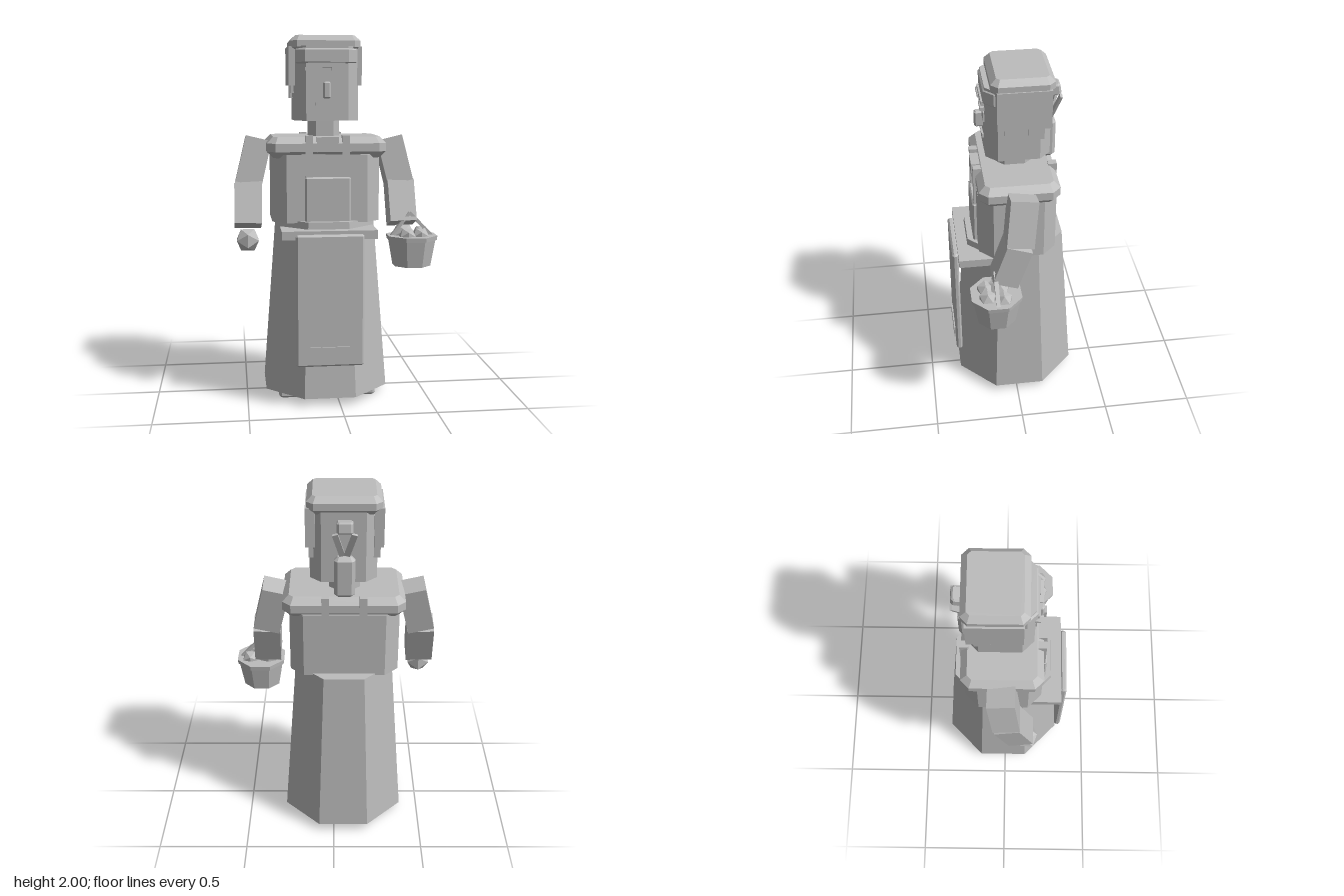
import * as THREE from 'three';

const grey = new THREE.MeshStandardMaterial({ color: 0xbcbcbc, flatShading: true, side: THREE.DoubleSide });
grey.name = 'plain grey';

const CX = -0.055; // body's mirror line
const OCT = 1 / Math.cos(Math.PI / 8); // half width across flats -> radius

export function createModel() {
  const root = new THREE.Group();
  const add = (name, geo, x = 0, y = 0, z = 0, parent = root) => {
    const m = new THREE.Mesh(geo, grey);
    m.name = name;
    m.position.set(x, y, z);
    parent.add(m);
    return m;
  };
  // plain box from its limits
  const box = (name, x0, x1, y0, y1, z0, z1) =>
    add(name, new THREE.BoxGeometry(x1 - x0, y1 - y0, z1 - z0), (x0 + x1) / 2, (y0 + y1) / 2, (z0 + z1) / 2);
  // box with cut upright corners (c) and bevelled top and bottom (b)
  const block = (name, x0, x1, y0, y1, z0, z1, c, b) => {
    const w = (x1 - x0) / 2, d = (z1 - z0) / 2;
    const s = new THREE.Shape([[w - c, -d], [w, c - d], [w, d - c], [w - c, d],
      [c - w, d], [-w, d - c], [-w, c - d], [c - w, -d]].map(p => new THREE.Vector2(...p)));
    const g = new THREE.ExtrudeGeometry(s, { depth: y1 - y0 - 2 * b, bevelEnabled: b > 0,
      bevelThickness: b, bevelSize: b, bevelOffset: -b, bevelSegments: 1 });
    g.rotateX(-Math.PI / 2);
    return add(name, g, (x0 + x1) / 2, y0 + b, (z0 + z1) / 2);
  };
  // square bar between two points
  const bar = (name, a, b, w, d) => {
    const p = new THREE.Vector3(...a), q = new THREE.Vector3(...b);
    const m = add(name, new THREE.BoxGeometry(w, p.distanceTo(q), d));
    m.position.copy(p).add(q).multiplyScalar(0.5);
    m.quaternion.setFromUnitVectors(new THREE.Vector3(0, 1, 0), p.sub(q).normalize());
    return m;
  };

  // shoes and legs under the open skirt
  for (const s of [-1, 1]) {
    const x = CX + s * 0.165;
    block('shoe', x - 0.105, x + 0.105, 0, 0.09, -0.12, 0.185, 0.015, 0.012);
    box('leg', x - 0.075, x + 0.075, 0.08, 0.5, -0.1, 0.06);
  }

  // eight-sided skirt
  const profile = [[0.339 * OCT, 0.04], [0.267 * OCT, 1], [0, 1]].map(p => new THREE.Vector2(...p));
  add('skirt', new THREE.LatheGeometry(profile, 8, Math.PI / 8), CX, 0, -0.013);

  // torso and shoulders
  block('torso', -0.352, 0.238, 0.99, 1.36, -0.222, 0.2, 0.075, 0);
  block('shoulderYoke', -0.38, 0.272, 1.34, 1.455, -0.23, 0.2, 0.045, 0.035);
  block('neck', -0.14, 0.027, 1.43, 1.56, -0.105, 0.075, 0.035, 0);

  // apron
  box('apronWaistband', -0.312, 0.204, 0.915, 0.962, 0.12, 0.315);
  block('apronPanel', -0.24, 0.128, 0.225, 0.945, 0.312, 0.347, 0.01, 0.01);
  box('apronPocket', -0.165, 0.055, 0.26, 0.335, 0.34, 0.355);
  block('apronBib', -0.178, 0.07, 0.98, 1.24, 0.19, 0.222, 0.008, 0.008);
  for (const s of [-1, 1]) {
    const x = CX + s * 0.1;
    box('frontStrap', x - 0.02, x + 0.02, 1.22, 1.463, 0.17, 0.213);
    box('backStrap', x - 0.02, x + 0.02, 1.3, 1.463, -0.237, -0.19);
  }
  box('collarTag', CX - 0.058, CX + 0.058, 1.375, 1.455, 0.17, 0.217);

  // arms: both bend forward at the elbow
  for (const s of [-1, 1]) {
    const at = dx => CX + s * dx;
    bar('upperArm', [at(0.365), 1.435, -0.02], [at(0.425), 1.185, 0.01], 0.145, 0.145);
    bar('forearm', [at(0.425), 1.19, 0.012], [at(0.43), 0.965, 0.09], 0.148, 0.14);
    add('hand', new THREE.IcosahedronGeometry(0.07, 0), at(0.433), s < 0 ? 0.89 : 0.9, 0.12);
  }

  // head
  block('head', -0.225, 0.125, 1.54, 1.94, -0.195, 0.145, 0.06, 0);
  block('hairCap', -0.245, 0.138, 1.905, 2, -0.21, 0.118, 0.035, 0.03);
  block('fringe', -0.22, 0.115, 1.845, 1.93, 0.02, 0.153, 0.05, 0.01);
  for (const s of [-1, 1]) {
    const side = (name, y0, y1, z0, z1, out) => {
      const a = CX + s * 0.15, b = CX + s * out;
      box(name, Math.min(a, b), Math.max(a, b), y0, y1, z0, z1);
    };
    side('sideHair', 1.73, 1.94, -0.19, 0.09, 0.2);
    side('sideLock', 1.66, 1.74, -0.155, -0.07, 0.185);
    side('sideburn', 1.69, 1.76, 0.0, 0.05, 0.185);

    // face details
    const x = CX + s * 0.072;
    box('eye', x - 0.034, x + 0.034, 1.738, 1.79, 0.14, 0.152);
    box('eyebrow', x - 0.045, x + 0.045, 1.808, 1.826, 0.14, 0.168);
    box('mouthCorner', CX + s * 0.055 - 0.007, CX + s * 0.055 + 0.007, 1.622, 1.642, 0.14, 0.155);
  }
  box('browRidge', CX - 0.1, CX + 0.1, 1.826, 1.85, 0.14, 0.162);
  block('nose', CX - 0.02, CX + 0.02, 1.66, 1.75, 0.13, 0.19, 0.008, 0.008);
  box('mouth', CX - 0.055, CX + 0.055, 1.615, 1.628, 0.14, 0.155);

  // hair tail and ribbon at the back
  block('hairTail', CX - 0.055, CX + 0.055, 1.465, 1.69, -0.238, -0.165, 0.018, 0.02);
  block('ribbonKnot', CX - 0.042, CX + 0.042, 1.825, 1.885, -0.265, -0.19, 0.012, 0.008).rotation.x = 0.15;
  for (const s of [-1, 1])
    bar('ribbonTail', [CX + s * 0.05, 1.83, -0.26], [CX + s * 0.012, 1.7, -0.218], 0.03, 0.014);

  // basket of eggs
  const basket = new THREE.Group();
  basket.name = 'basket';
  basket.position.set(0.423, 0, 0.138);
  root.add(basket);
  const oct = (top, bottom, h) => new THREE.CylinderGeometry(top * OCT, bottom * OCT, h, 8, 1, false, Math.PI / 8);
  add('basketBody', oct(0.125, 0.1, 0.15), 0, 0.81, 0, basket);
  add('basketRim', oct(0.135, 0.132, 0.025), 0, 0.893, 0, basket);
  for (const [x, z] of [[0.06, -0.035], [-0.035, 0.055], [0.04, 0.05]])
    add('egg', new THREE.IcosahedronGeometry(0.05, 0), x, 0.905, z, basket);
  bar('basketHandle', [0.41, 1.03, 0.138], [0.535, 0.9, 0.138], 0.018, 0.022);
  bar('basketHandle', [0.41, 1.03, 0.138], [0.31, 0.9, 0.138], 0.018, 0.022);

  return root;
}
